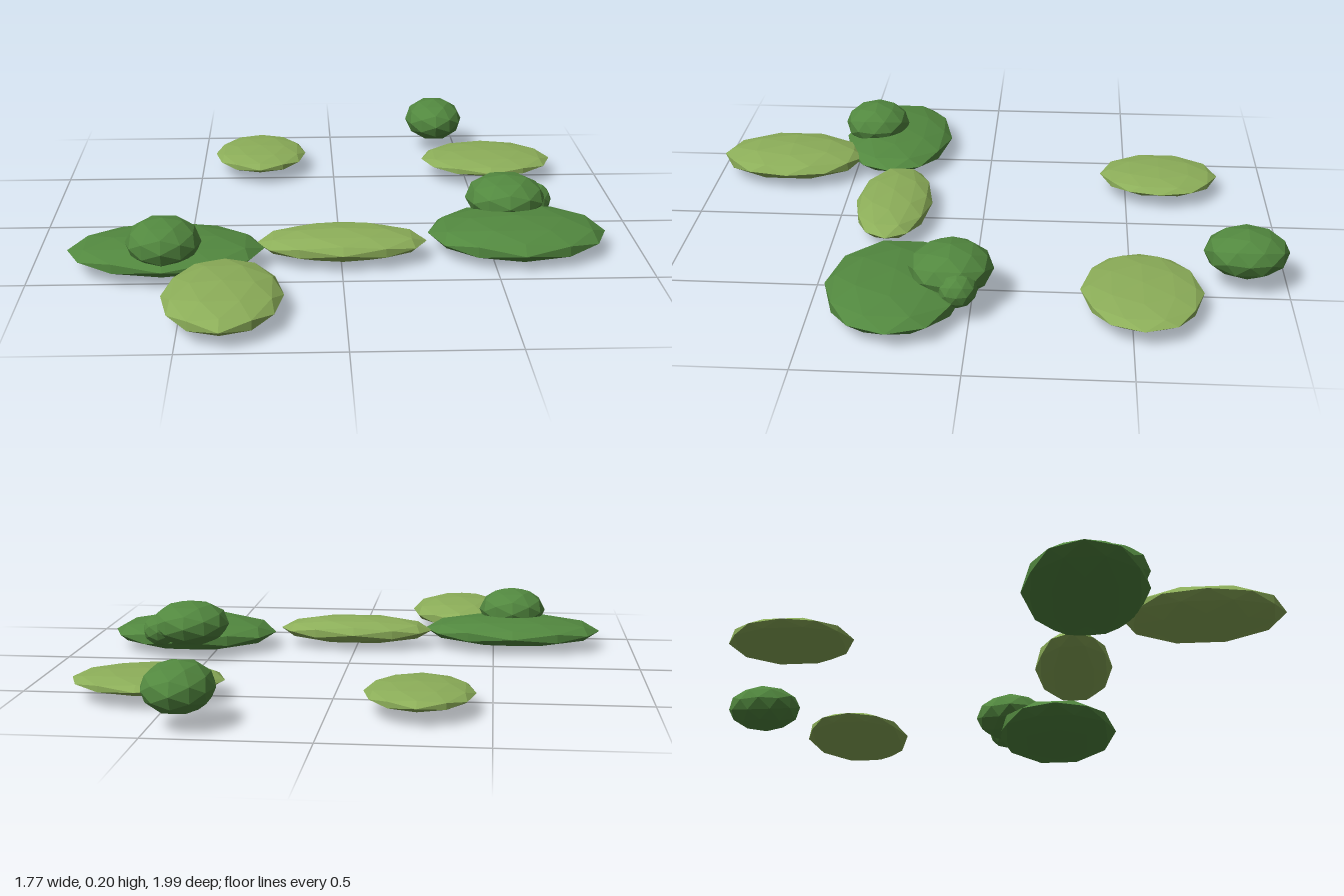
import * as THREE from 'three';

export function createModel() {
  const group = new THREE.Group();
  group.name = 'shrubPatches';

  const darkGreen = new THREE.MeshStandardMaterial({ color: 0x52883f, flatShading: true });
  darkGreen.name = 'darkGreen';
  const lightGreen = new THREE.MeshStandardMaterial({ color: 0x8cae59, flatShading: true });
  lightGreen.name = 'lightGreen';

  // every clump is a faceted ball, stretched to its own radii
  const ball = new THREE.IcosahedronGeometry(1, 1);
  function clump(name, material, centre, radii) {
    const mesh = new THREE.Mesh(ball, material);
    mesh.name = name;
    mesh.position.set(...centre);
    mesh.scale.set(...radii);
    group.add(mesh);
  }

  // broad flat patches of dark foliage
  clump('darkPatchRight', darkGreen, [-0.567, 0.06, 0.357], [0.318, 0.05, 0.201]);
  clump('darkPatchLeft', darkGreen, [0.588, 0.058, 0.235], [0.297, 0.058, 0.225]);

  // flat patches of light grass
  clump('grassPatchMiddle', lightGreen, [0.003, 0.06, 0.31], [0.278, 0.048, 0.133]);
  clump('grassPatchFront', lightGreen, [-0.37, 0.06, 0.73], [0.185, 0.05, 0.263]);
  clump('grassPatchBackRight', lightGreen, [-0.278, 0.06, -0.618], [0.172, 0.033, 0.21]);
  clump('grassPatchBackLeft', lightGreen, [0.582, 0.06, -0.53], [0.245, 0.033, 0.192]);

  // rounded bushes
  clump('bushRight', darkGreen, [-0.567, 0.12, 0.44], [0.121, 0.08, 0.12]);
  clump('bushLeft', darkGreen, [0.571, 0.12, 0.064], [0.138, 0.08, 0.135]);
  clump('bushBack', darkGreen, [0.412, 0.12, -0.863], [0.112, 0.08, 0.136]);
  clump('bushSmall', darkGreen, [0.673, 0.1, 0.036], [0.062, 0.058, 0.063]);

  return group;
}
